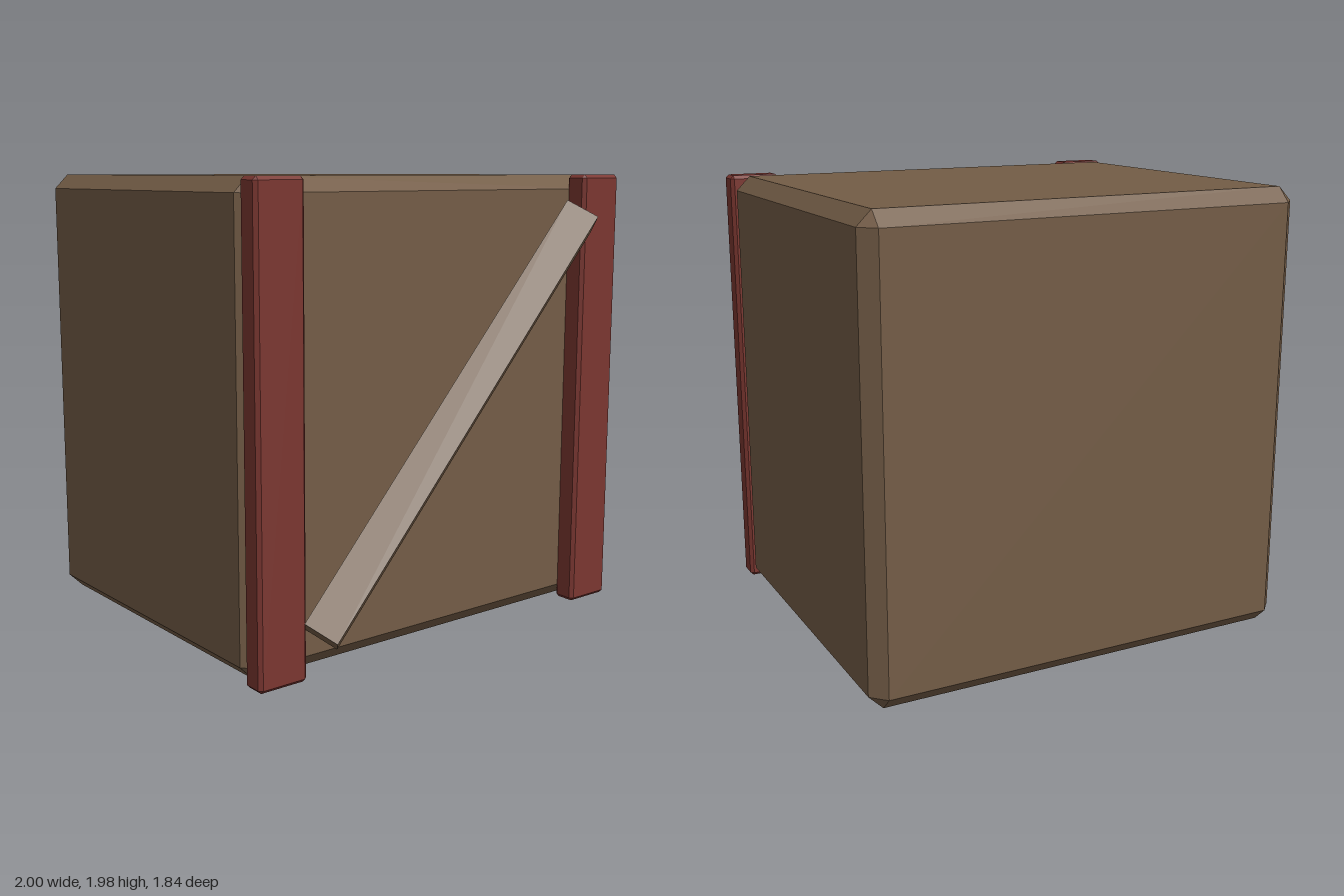
import * as THREE from 'three';
import { ConvexGeometry } from 'three/addons/geometries/ConvexGeometry.js';

// Box with flat chamfers on every edge and triangular corners
function chamferedBox(w, h, d, c) {
  const half = [w / 2, h / 2, d / 2];
  const points = [];
  for (const sx of [-1, 1]) for (const sy of [-1, 1]) for (const sz of [-1, 1]) {
    const sign = [sx, sy, sz];
    for (let axis = 0; axis < 3; axis++) {
      points.push(new THREE.Vector3(...half.map((v, i) => sign[i] * (i === axis ? v : v - c))));
    }
  }
  return new ConvexGeometry(points);
}

export function createModel() {
  const model = new THREE.Group();
  model.name = 'crate';

  const wood = new THREE.MeshStandardMaterial({ color: 0x735c46, flatShading: true });
  wood.name = 'brown wood';
  const red = new THREE.MeshStandardMaterial({ color: 0x7a3630, flatShading: true });
  red.name = 'dark red';

  function add(name, geometry, material, x, y, z) {
    const mesh = new THREE.Mesh(geometry, material);
    mesh.name = name;
    mesh.position.set(x, y, z);
    model.add(mesh);
    return mesh;
  }

  // Main crate block
  add('body', chamferedBox(1.98, 1.98, 1.62, 0.063), wood, 0, 0.99, -0.11);

  // Upright boards on the front edges
  const post = chamferedBox(0.23, 1.98, 0.106, 0.015);
  add('leftPost', post, red, 0.885, 0.99, 0.738);
  add('rightPost', post, red, -0.885, 0.99, 0.738);

  // Square diagonal brace, standing on its edge
  const side = 0.152;
  const bar = new THREE.BoxGeometry(2.167, side, side).rotateX(Math.PI / 4);
  add('diagonalBrace', bar, wood, 0, 0.99, 0.81).rotation.z = Math.atan2(1.62, 1.44);

  return model;
}
